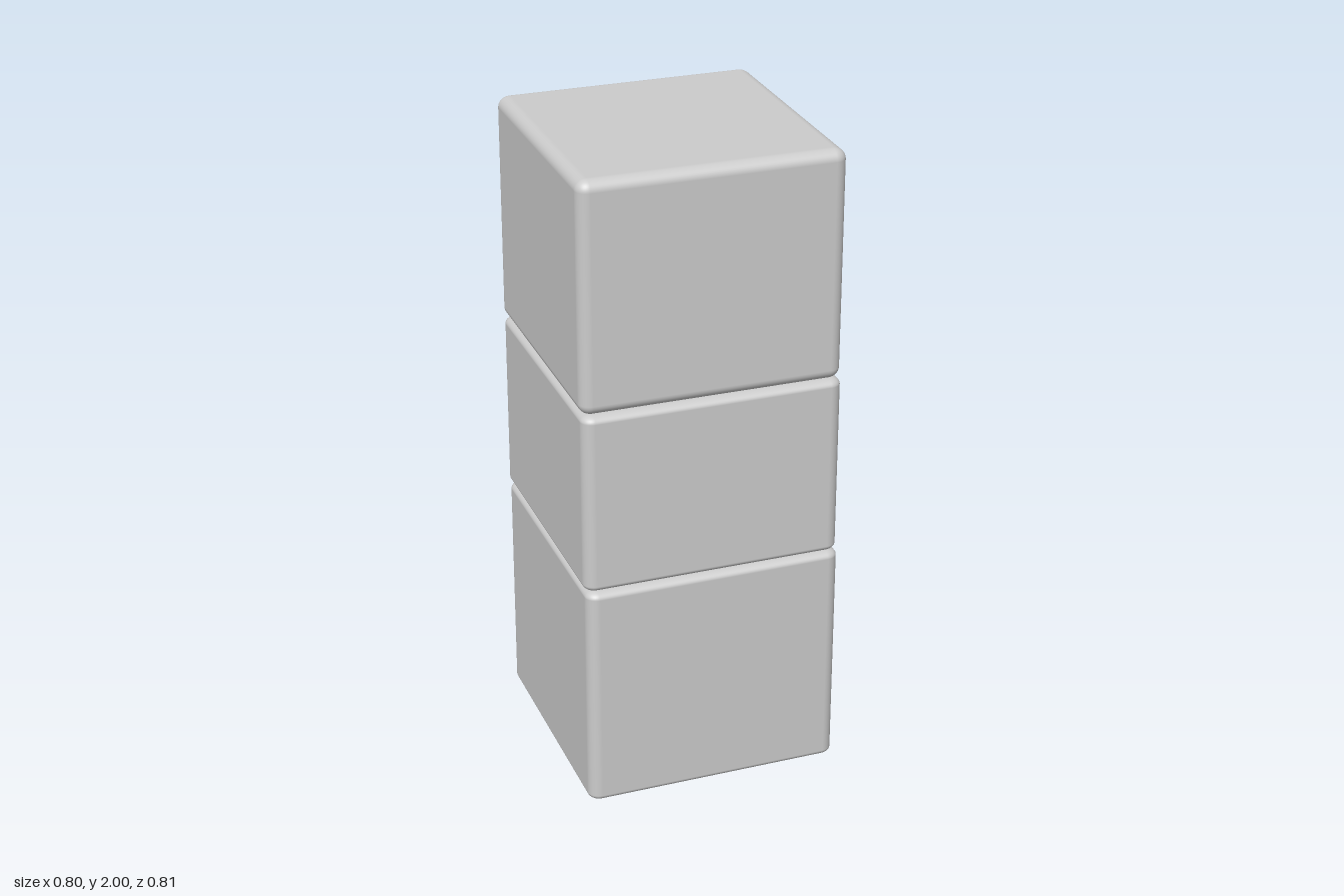
import * as THREE from 'three';
import { RoundedBoxGeometry } from 'three/addons/geometries/RoundedBoxGeometry.js';

export function createModel() {
  const group = new THREE.Group();
  group.name = 'blockStack';
  const material = new THREE.MeshStandardMaterial({ color: 0xcccccc });

  // Each block: name, bottom, top, x/z centre, slight twist, vertical squash of the rounding
  const blocks = [
    ['lowerBlock', 0, 0.726, 0, 0, 0.008, 0.6],
    ['middleBlock', 0.726, 1.295, -0.003, -0.003, 0.004, 0.6],
    ['upperBlock', 1.295, 2, -0.005, -0.006, 0, 0.9],
  ];

  for (const [name, bottom, top, x, z, twist, squash] of blocks) {
    const geometry = new RoundedBoxGeometry(0.797, (top - bottom) / squash, 0.797, 5, 0.037);
    geometry.scale(1, squash, 1);
    const block = new THREE.Mesh(geometry, material);
    block.name = name;
    block.position.set(x, (bottom + top) / 2, z);
    block.rotation.y = twist;
    group.add(block);
  }
  return group;
}
